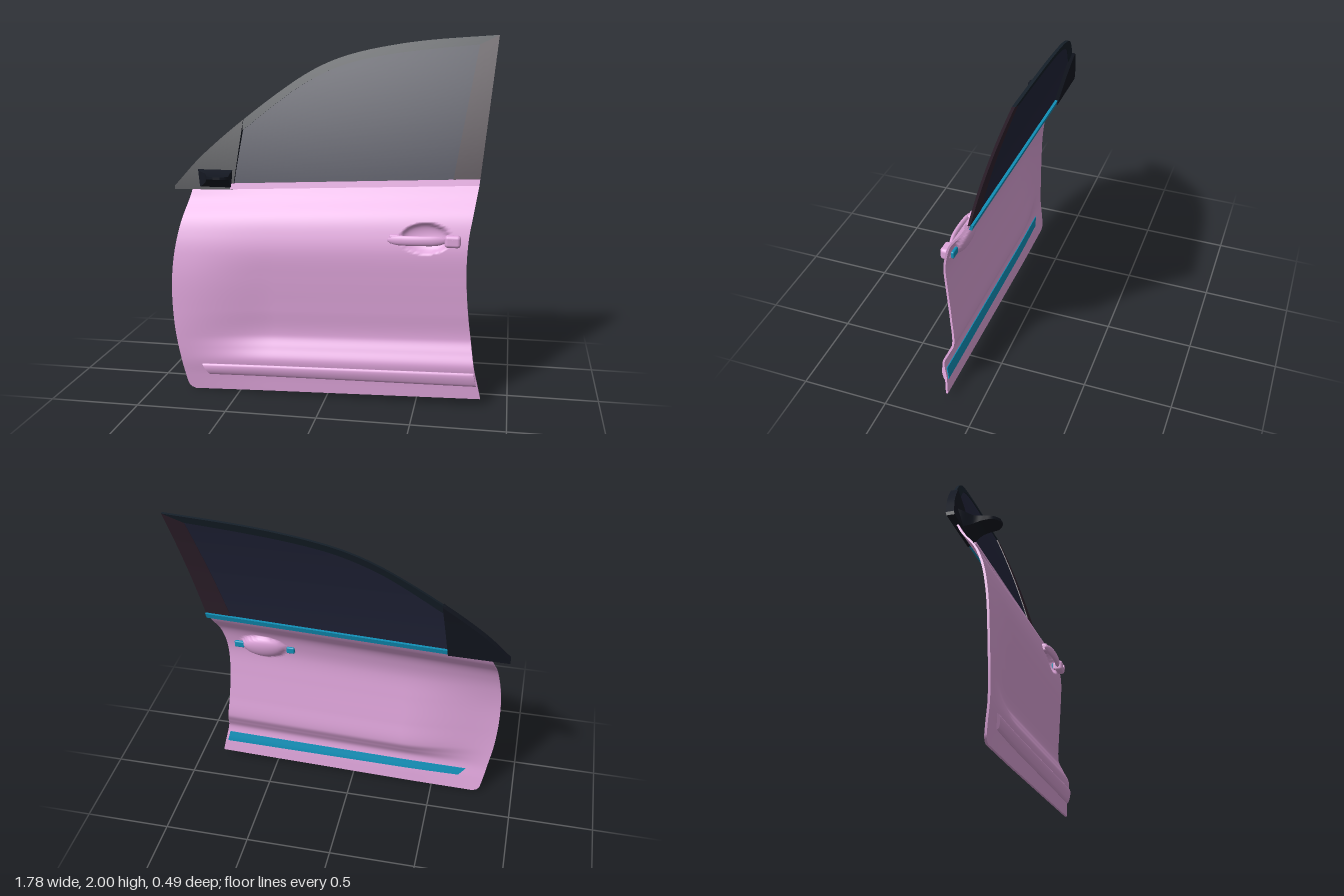
import * as THREE from 'three';
import { mergeGeometries } from 'three/addons/utils/BufferGeometryUtils.js';
import { RoundedBoxGeometry } from 'three/addons/geometries/RoundedBoxGeometry.js';

const mat = (color) => new THREE.MeshStandardMaterial({ color, side: THREE.DoubleSide });
const paint = mat(0xe0a6dc), glassMat = mat(0x23263c), frameMat = mat(0x17212b),
  pillarMat = mat(0x32232f), sailMat = mat(0x141822), innerMat = mat(0x1190b8);
const { lerp, smoothstep } = THREE.MathUtils;

// Smooth function through [input, output] points
function smoothFn(p) {
  const slope = p.map((_, i) => {
    const a = p[Math.max(i - 1, 0)], b = p[Math.min(i + 1, p.length - 1)];
    return (b[1] - a[1]) / (b[0] - a[0]);
  });
  return (x) => {
    let i = 0;
    while (i < p.length - 2 && x > p[i + 1][0]) i++;
    const h = p[i + 1][0] - p[i][0], t = (x - p[i][0]) / h, t2 = t * t, t3 = t2 * t;
    return (2 * t3 - 3 * t2 + 1) * p[i][1] + (t3 - 2 * t2 + t) * h * slope[i]
      + (3 * t2 - 2 * t3) * p[i + 1][1] + (t3 - t2) * h * slope[i + 1];
  };
}

// Grid of quads over fn(u, v) -> [x, y, z]
function grid(fn, nu, nv, flip = false) {
  const pos = [], idx = [];
  for (let j = 0; j <= nv; j++)
    for (let i = 0; i <= nu; i++) pos.push(...fn(i / nu, j / nv));
  for (let j = 0; j < nv; j++)
    for (let i = 0; i < nu; i++) {
      const a = j * (nu + 1) + i, b = a + 1, c = a + nu + 1, d = c + 1;
      idx.push(...(flip ? [a, d, b, a, c, d] : [a, b, d, a, d, c]));
    }
  const g = new THREE.BufferGeometry();
  g.setAttribute('position', new THREE.Float32BufferAttribute(pos, 3));
  g.setIndex(idx);
  g.computeVertexNormals();
  return g;
}

// Curved sheet with thickness t and crisp edges
function slab(fn, nu, nv, t) {
  const deep = (u, v, w) => { const [x, y, z] = fn(u, v); return [x, y, z - t * w]; };
  return mergeGeometries([
    grid(fn, nu, nv),
    grid((u, v) => deep(u, v, 1), nu, nv, true),
    grid((u, w) => deep(u, 0, w), nu, 1, true),
    grid((u, w) => deep(u, 1, w), nu, 1),
    grid((v, w) => deep(0, v, w), nv, 1),
    grid((v, w) => deep(1, v, w), nv, 1, true),
  ]);
}

// Door skin: edge outlines and depth profiles, by height
const frontEdge = smoothFn([[0, -0.76], [0.012, -0.785], [0.04, -0.802], [0.25, -0.84], [0.4, -0.861], [0.6, -0.872],
  [0.8, -0.865], [1, -0.838], [1.21, -0.795]]);
const rearEdge = smoothFn([[0, 0.855], [0.2, 0.815], [0.45, 0.78], [0.72, 0.762], [0.92, 0.768], [1.07, 0.79], [1.21, 0.812]]);
const rearDepth = smoothFn([[0, 0.195], [0.1, 0.205], [0.2, 0.222], [0.27, 0.195], [0.34, 0.168], [0.5, 0.18],
  [0.7, 0.198], [0.85, 0.205], [0.95, 0.19], [1.05, 0.155], [1.15, 0.085], [1.21, 0.05]]);
const frontDepth = smoothFn([[0, 0.2], [0.1, 0.215], [0.2, 0.23], [0.35, 0.238], [0.5, 0.24],
  [0.7, 0.235], [0.85, 0.218], [0.95, 0.195], [1.05, 0.155], [1.15, 0.085], [1.21, 0.055]]);
const sillY = (x) => 0.005 + 0.028 * (x + 0.76);
const beltY = (x) => 1.14 + 0.043 * (x + 0.8);
function skinZ(x, y) {
  const h = 1.21 * (y - sillY(x)) / (beltY(x) - sillY(x));
  return lerp(frontDepth(h), rearDepth(h), smoothstep(x, -0.85, -0.3));
}
function skin(u, v) {
  const h = 1.21 * v, x = lerp(frontEdge(h), rearEdge(h), u), y = lerp(sillY(x), beltY(x), v);
  // hollow behind the handle
  const r = Math.hypot((x - 0.54) / 0.13, (y - 0.935) / 0.078);
  const bowl = r < 1 ? 0.05 * Math.sqrt(1 - r * r) : 0;
  return [x, y, skinZ(x, y) - bowl];
}

// Window plane leans inward as it rises
const windowZ = (y) => 0.04 - 0.266 * (y - 1.2) - 0.097 * (y - 1.2) ** 2;
const outerArch = smoothFn([[-0.895, 1.16], [-0.75, 1.325], [-0.5, 1.545], [-0.25, 1.735], [-0.1, 1.825],
  [0.05, 1.885], [0.25, 1.933], [0.5, 1.97], [0.89, 2]]);
const innerArch = smoothFn([[-0.52, 1.47], [-0.25, 1.685], [-0.1, 1.775], [0.05, 1.838], [0.25, 1.885], [0.5, 1.92], [0.785, 1.948]]);
// Sheet on the window plane between a lower and an upper curve
const pane = (low, high, dz) => (u, v) => {
  const a = low(u), b = high(u), y = lerp(a[1], b[1], v);
  return [lerp(a[0], b[0], v), y, windowZ(y) + dz];
};
const line = (a, b) => (u) => [lerp(a[0], b[0], u), lerp(a[1], b[1], u)];
const along = (f, x0, x1) => (u) => { const x = lerp(x0, x1, u); return [x, f(x)]; };

// Sill moulding band that follows the skin, with a raked front end
const band = (inset, lift) => (u, v) => {
  const x = lerp(lerp(-0.67, -0.71, v) + inset, 0.83 - 0.015 * v - inset, u);
  const y = lerp(0.112 + 0.015 * x + inset, 0.184 + 0.025 * x - inset, v);
  return [x, y, skinZ(x, y) + lift(v)];
};

export function createModel() {
  const door = new THREE.Group();
  door.name = 'carDoor';
  const add = (name, geometry, material, parent = door) => {
    const m = new THREE.Mesh(geometry, material);
    m.name = name;
    parent.add(m);
    return m;
  };

  add('doorSkin', slab(skin, 110, 120, 0.012), paint);
  add('sillMoulding', slab(band(0, (v) => 0.004 + 0.012 * Math.sin(Math.PI * v) ** 0.5), 40, 12, 0.016), paint);
  add('mouldingBack', slab(band(0.008, () => -0.008), 40, 8, 0.009), innerMat);

  // Belt strip under the glass: painted outside, trim inside
  const belt = (dz) => pane(line([-0.57, 1.148], [0.812, 1.208]), line([-0.57, 1.178], [0.815, 1.24]), dz);
  add('beltStrip', slab(belt(0.018), 24, 2, 0.018), paint);
  add('beltStripInner', slab(belt(-0.008), 24, 2, 0.016), innerMat);

  // Window and its frame
  const innerTop = along(innerArch, -0.52, 0.785);
  add('windowGlass', slab(pane(line([-0.556, 1.165], [0.67, 1.225]), innerTop, -0.002), 40, 16, 0.006), glassMat);
  add('windowArch', slab(pane(innerTop, along(outerArch, -0.53, 0.89), 0.004), 50, 3, 0.016), frameMat);
  add('rearPillar', slab(pane(line([0.67, 1.225], [0.815, 1.235]), line([0.785, 1.948], [0.89, 2]), 0.004), 3, 16, 0.014), pillarMat);

  // Triangular sail panel carrying the mirror foot
  const sailLow = line([-0.895, 1.14], [-0.556, 1.145]), sailHigh = along(outerArch, -0.895, -0.52);
  add('mirrorSail', slab(pane(sailLow, sailHigh, 0.012), 16, 10, 0.042), sailMat);

  // Mirror foot: a box tapered from its flared root to a thin tip
  const left = smoothFn([[0.03, -0.77], [0.06, -0.75], [0.1, -0.705], [0.15, -0.685], [0.2, -0.662], [0.222, -0.625]]);
  const right = smoothFn([[0.03, -0.565], [0.1, -0.565], [0.17, -0.55], [0.2, -0.553], [0.222, -0.585]]);
  const under = smoothFn([[0.03, 1.145], [0.06, 1.155], [0.11, 1.195], [0.16, 1.215], [0.222, 1.226]]);
  const over = smoothFn([[0.03, 1.255], [0.06, 1.245], [0.1, 1.238], [0.16, 1.238], [0.222, 1.24]]);
  const foot = new THREE.BoxGeometry(1, 1, 1, 4, 1, 14), fp = foot.attributes.position;
  for (let i = 0; i < fp.count; i++) {
    const z = lerp(0.03, 0.222, fp.getZ(i) + 0.5);
    fp.setXYZ(i, lerp(left(z), right(z), fp.getX(i) + 0.5), lerp(under(z), over(z), fp.getY(i) + 0.5), z);
  }
  foot.computeVertexNormals();
  add('mirrorFoot', foot, sailMat);

  // Pull handle: bowed grip, key cap and mounts
  const handle = new THREE.Group();
  handle.name = 'handle';
  door.add(handle);
  const grip = new THREE.CapsuleGeometry(0.5, 1, 8, 20, 24).rotateZ(Math.PI / 2), gp = grip.attributes.position;
  for (let i = 0; i < gp.count; i++) {
    const s = gp.getX(i);
    gp.setXYZ(i, 0.495 + 0.16 * s, 0.93 + gp.getY(i) * 0.054 + 0.003 * s,
      0.228 + gp.getZ(i) * 0.03 - 0.018 * s * s);
  }
  grip.computeVertexNormals();
  add('grip', grip, paint, handle);
  add('keyCap', new RoundedBoxGeometry(0.085, 0.066, 0.05, 4, 0.018), paint, handle).position.set(0.686, 0.932, 0.214);
  const lock = add('keyLock', new THREE.CylinderGeometry(0.013, 0.013, 0.008, 20), paint, handle);
  lock.rotation.x = Math.PI / 2;
  lock.position.set(0.692, 0.932, 0.24);
  for (const [x, w] of [[0.375, 0.06], [0.685, 0.075]]) {
    add('handleMount', new RoundedBoxGeometry(w, 0.05, 0.04, 3, 0.012), paint, handle).position.set(x, 0.931, 0.2);
    add('mountBack', new RoundedBoxGeometry(w * 0.8, 0.042, 0.02, 3, 0.008), innerMat, handle).position.set(x, 0.931, 0.174);
  }
  return door;
}
